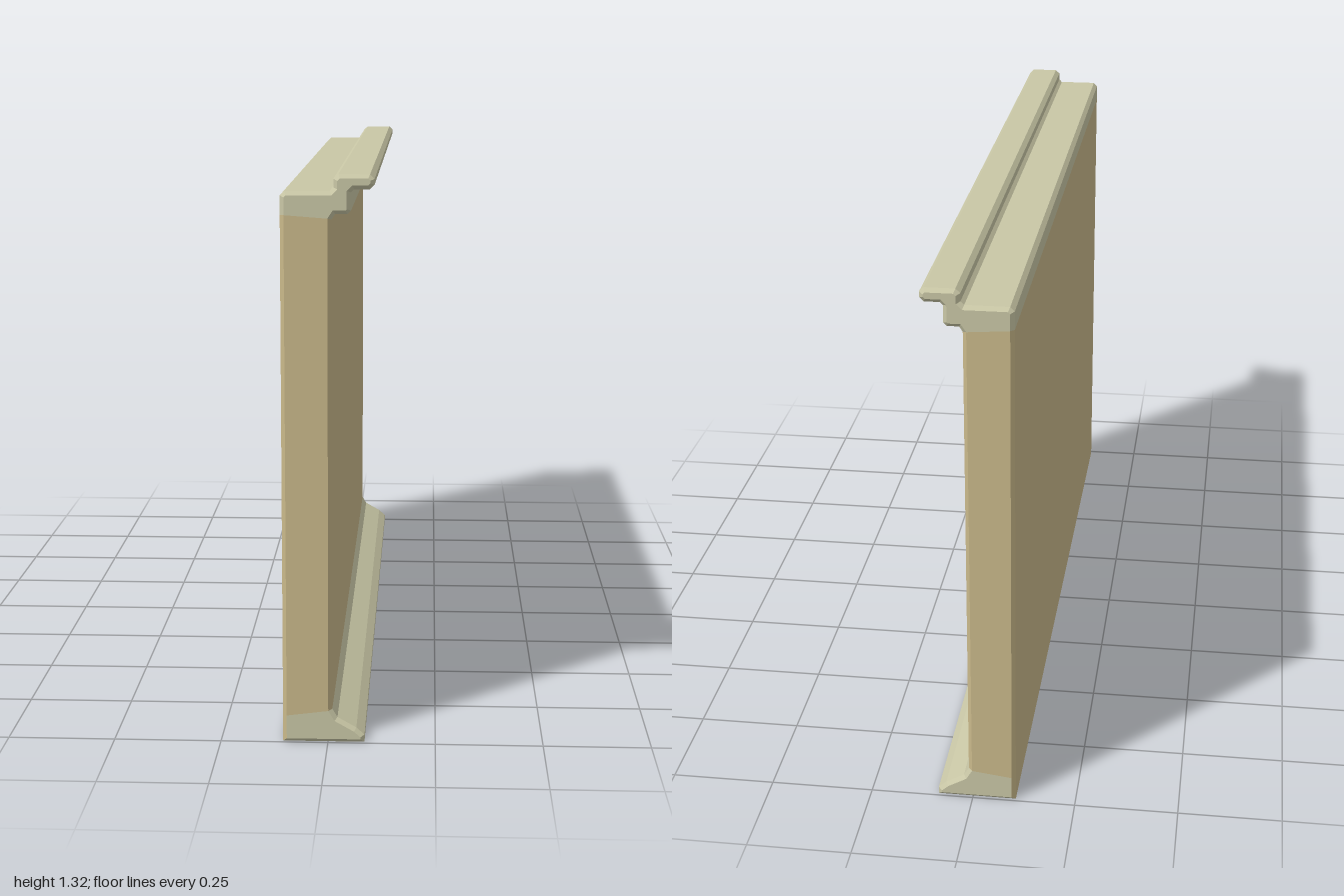
import * as THREE from 'three';

// Cross-section of the wall, counter-clockwise in x, y
const PROFILE = [
  [-0.105, 0], [0.085, 0], [0.085, 0.018], [0.066, 0.035], [0.022, 0.06], [0.01, 0.08],
  [0.01, 1.22], [0.018, 1.232], [0.045, 1.232], [0.053, 1.24], [0.053, 1.28], [0.06, 1.287],
  [0.095, 1.287], [0.105, 1.297], [0.105, 1.31], [0.095, 1.32], [0.025, 1.32], [0.014, 1.31],
  [0.014, 1.291], [0.006, 1.283], [-0.095, 1.283], [-0.105, 1.273], [-0.105, 1.23], [-0.105, 0.065],
].map(([x, y]) => new THREE.Vector2(x, y));
const BEVEL = 0.009;

// Mitred inset of the whole section, used for the bevelled ends
function insetProfile(points, d) {
  const n = points.length;
  const inward = (a, b) => new THREE.Vector2(a.y - b.y, b.x - a.x).normalize();
  return points.map((p, i) => {
    const n1 = inward(points[(i + n - 1) % n], p);
    const n2 = inward(p, points[(i + 1) % n]);
    return p.clone().addScaledVector(n1.clone().add(n2), d / (1 + n1.dot(n2)));
  });
}

// Sweep the given runs of the section along z and close both ends with a face
function sweep(inner, runs, face) {
  const pos = [];
  const rings = [
    [inner, -1], [PROFILE, -1 + BEVEL], [PROFILE, 1 - BEVEL], [inner, 1],
  ];
  const put = ([ring, z], i) => pos.push(ring[i].x, ring[i].y, z);
  for (const run of runs) {
    for (let k = 0; k < run.length - 1; k++) {
      const a = run[k], b = run[k + 1];
      for (let r = 0; r < 3; r++) {
        const back = rings[r], front = rings[r + 1];
        put(back, a); put(back, b); put(front, b);
        put(back, a); put(front, b); put(front, a);
      }
    }
  }
  const tris = THREE.ShapeUtils.triangulateShape(face.map((i) => inner[i]), []);
  for (const t of tris) {
    const [a, b, c] = t.map((k) => face[k]);
    put(rings[3], a); put(rings[3], b); put(rings[3], c);
    put(rings[0], a); put(rings[0], c); put(rings[0], b);
  }
  const geometry = new THREE.BufferGeometry();
  geometry.setAttribute('position', new THREE.Float32BufferAttribute(pos, 3));
  geometry.computeVertexNormals();
  return geometry;
}

const range = (a, b) => Array.from({ length: b - a + 1 }, (_, i) => a + i);

export function createModel() {
  const group = new THREE.Group();
  group.name = 'wallSection';
  const plaster = new THREE.MeshStandardMaterial({ color: 0xc9b88a });
  plaster.name = 'tanPlaster';
  const trim = new THREE.MeshStandardMaterial({ color: 0xc9c7a6 });
  trim.name = 'paleStoneTrim';

  const inner = insetProfile(PROFILE, BEVEL);
  const add = (name, material, runs, face) => {
    const mesh = new THREE.Mesh(sweep(inner, runs, face), material);
    mesh.name = name;
    group.add(mesh);
  };

  // Flared skirting at the foot
  add('baseMoulding', trim, [range(0, 5)], [...range(0, 5), 23]);
  // Plain wall; its back runs down to the floor
  add('wallPanel', plaster, [[5, 6], [22, 23, 0]], [5, 6, 22, 23]);
  // Stepped cornice and coping
  add('topMoulding', trim, [range(6, 22)], range(6, 22));
  return group;
}
